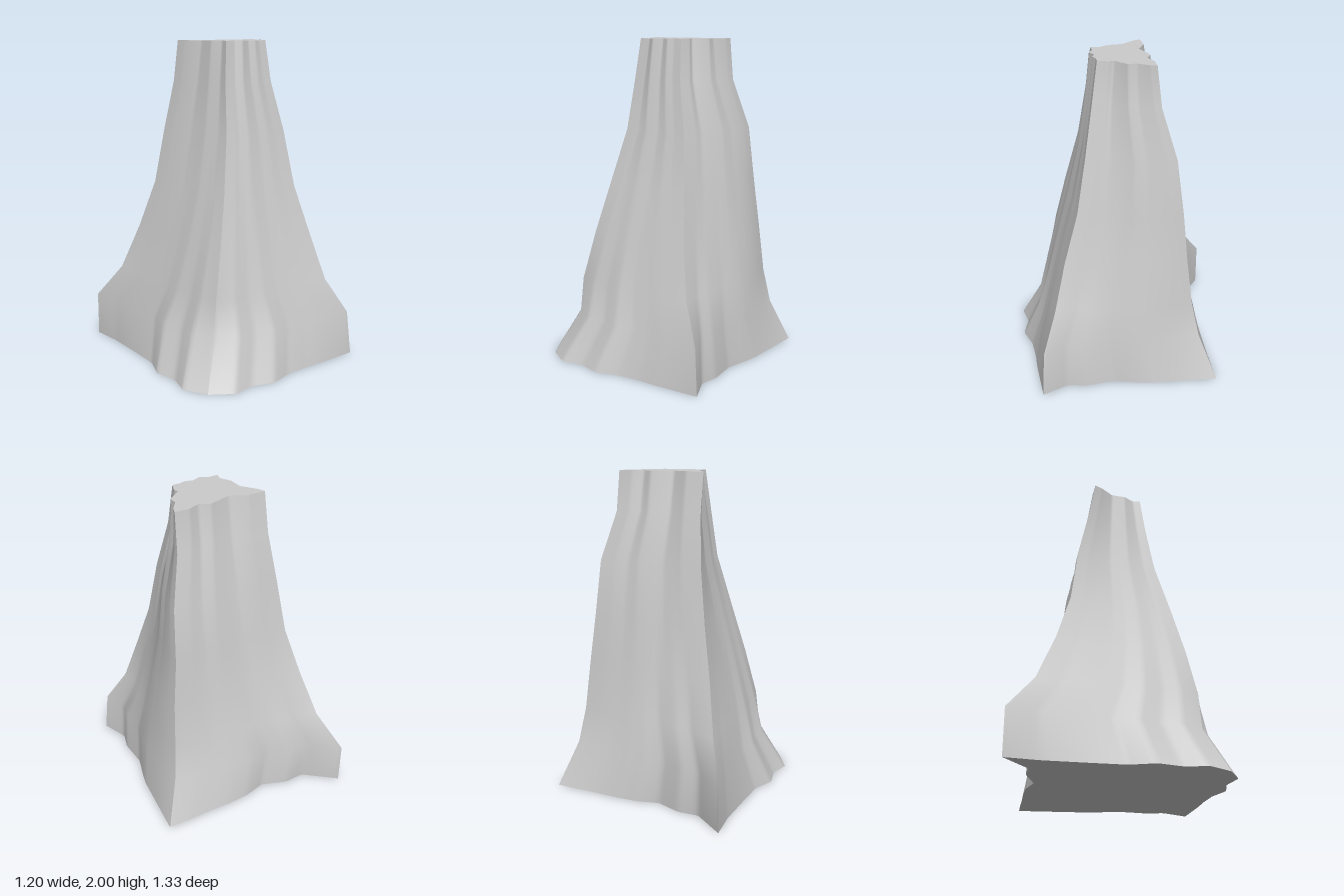
import * as THREE from 'three';

const HEIGHTS = [0, 0.28, 0.5, 0.8, 1.1, 1.45, 1.75, 2];
// How much of the ragged base and rim outlines shows at each height
const BASE_WEIGHT = [1, 0.68, 0.28, 0.12, 0.06, 0.02, 0, 0];
const RIM_WEIGHT = [0, 0, 0.03, 0.08, 0.2, 0.45, 0.75, 1];
// Sideways swell of the left face at each height
const SWELL = [0, 0.02, 0.045, 0.035, 0.03, 0.02, 0.01, 0];
const STEPS = 48;

// The four ridges, as [x, z] at each height
const frontRight = [[-0.51, 0.58], [-0.385, 0.46], [-0.365, 0.45], [-0.3, 0.4], [-0.23, 0.335], [-0.155, 0.25], [-0.13, 0.2], [-0.105, 0.17]];
const frontLeft = [[0.6, 0.575], [0.575, 0.56], [0.455, 0.475], [0.38, 0.4], [0.32, 0.31], [0.275, 0.25], [0.21, 0.2], [0.19, 0.165]];
const backLeft = [[0.6, -0.53], [0.505, -0.425], [0.475, -0.38], [0.455, -0.345], [0.425, -0.32], [0.405, -0.275], [0.335, -0.19], [0.33, -0.16]];
const backRight = [[-0.6, -0.67], [-0.6, -0.67], [-0.49, -0.51], [-0.41, -0.395], [-0.335, -0.31], [-0.285, -0.265], [-0.25, -0.2], [-0.245, -0.155]];

// Each face runs between two ridges; base and rim hold the points in between
const FACES = [
  { name: 'frontFace', from: frontRight, to: frontLeft, swell: 0,
    base: [[-0.37, 0.66], [-0.23, 0.63], [-0.09, 0.665], [0.05, 0.615], [0.2, 0.6], [0.32, 0.597]],
    rim: [[-0.04, 0.165], [0, 0.19], [0.06, 0.165], [0.1, 0.18], [0.14, 0.165]] },
  { name: 'leftFace', from: frontLeft, to: backLeft, swell: 1,
    base: [[0.525, 0.41], [0.55, 0.3], [0.53, 0.12], [0.565, -0.02], [0.58, -0.1], [0.595, -0.4]],
    rim: [[0.21, 0.1], [0.2, 0.07], [0.28, 0], [0.275, -0.05], [0.32, -0.12]] },
  { name: 'backFace', from: backLeft, to: backRight, swell: 0,
    base: [[0.47, -0.53], [0.32, -0.525], [0.16, -0.525], [0.03, -0.515], [-0.11, -0.475], [-0.27, -0.53], [-0.4, -0.52]],
    rim: [[0.24, -0.16], [0.17, -0.13], [0.11, -0.16], [-0.03, -0.115], [-0.13, -0.16]] },
  { name: 'rightFace', from: backRight, to: frontRight, swell: 0,
    base: [[-0.57, -0.47], [-0.56, -0.2], [-0.555, 0], [-0.605, 0.15], [-0.565, 0.3], [-0.595, 0.44]],
    rim: [[-0.22, -0.11], [-0.15, -0.03], [-0.14, 0.06], [-0.1, 0.12]] },
];

const mix = (a, b, t) => a + (b - a) * t;

// Offsets of a ragged line from the straight line between its ends
function raggedness(points) {
  const path = new THREE.CurvePath();
  const v = points.map(([x, z]) => new THREE.Vector2(x, z));
  for (let i = 1; i < v.length; i++) path.add(new THREE.LineCurve(v[i - 1], v[i]));
  return Array.from({ length: STEPS + 1 }, (_, i) => {
    const t = i / STEPS;
    return path.getPoint(t).sub(v[0].clone().lerp(v[v.length - 1], t));
  });
}

// Rows of [x, z] points for one face, from the ground to the rim
function faceRows({ from, to, base, rim, swell }) {
  const last = HEIGHTS.length - 1;
  const low = raggedness([from[0], ...base, to[0]]);
  const high = raggedness([from[last], ...rim, to[last]]);
  return HEIGHTS.map((_, j) => low.map((l, i) => {
    const t = i / STEPS, h = high[i];
    // The swell forms a soft fold two thirds of the way along
    const fold = swell * SWELL[j] * Math.sin(Math.PI * t ** 1.8);
    return [
      mix(from[j][0], to[j][0], t) + l.x * BASE_WEIGHT[j] + h.x * RIM_WEIGHT[j] + fold,
      mix(from[j][1], to[j][1], t) + l.y * BASE_WEIGHT[j] + h.y * RIM_WEIGHT[j],
    ];
  }));
}

function loft(rows) {
  const positions = [], index = [], n = STEPS + 1;
  rows.forEach((row, j) => row.forEach(([x, z]) => positions.push(x, HEIGHTS[j], z)));
  for (let j = 0; j < rows.length - 1; j++) {
    for (let i = 0; i < STEPS; i++) {
      const a = j * n + i, b = a + 1, c = a + n, d = c + 1;
      index.push(a, b, d, a, d, c);
    }
  }
  const geometry = new THREE.BufferGeometry();
  geometry.setAttribute('position', new THREE.Float32BufferAttribute(positions, 3));
  geometry.setIndex(index);
  geometry.computeVertexNormals();
  return geometry;
}

export function createModel() {
  const group = new THREE.Group();
  group.name = 'rockPillar';
  const material = new THREE.MeshStandardMaterial({ color: 0xcccccc });
  const add = (name, geometry) => {
    const mesh = new THREE.Mesh(geometry, material);
    mesh.name = name;
    group.add(mesh);
  };

  // Four sloping faces, smooth inside and sharp where they meet
  const faces = FACES.map(faceRows);
  faces.forEach((rows, k) => add(FACES[k].name, loft(rows)));

  // Flat top and underside, filling the outlines of the faces
  const outline = (j, sign) => new THREE.Shape(
    faces.flatMap(rows => rows[j].slice(0, -1)).map(([x, z]) => new THREE.Vector2(x, sign * z)));
  const top = new THREE.ShapeGeometry(outline(HEIGHTS.length - 1, -1));
  add('flatTop', top.rotateX(-Math.PI / 2).translate(0, 2, 0));
  add('underside', new THREE.ShapeGeometry(outline(0, 1)).rotateX(Math.PI / 2));

  return group;
}
